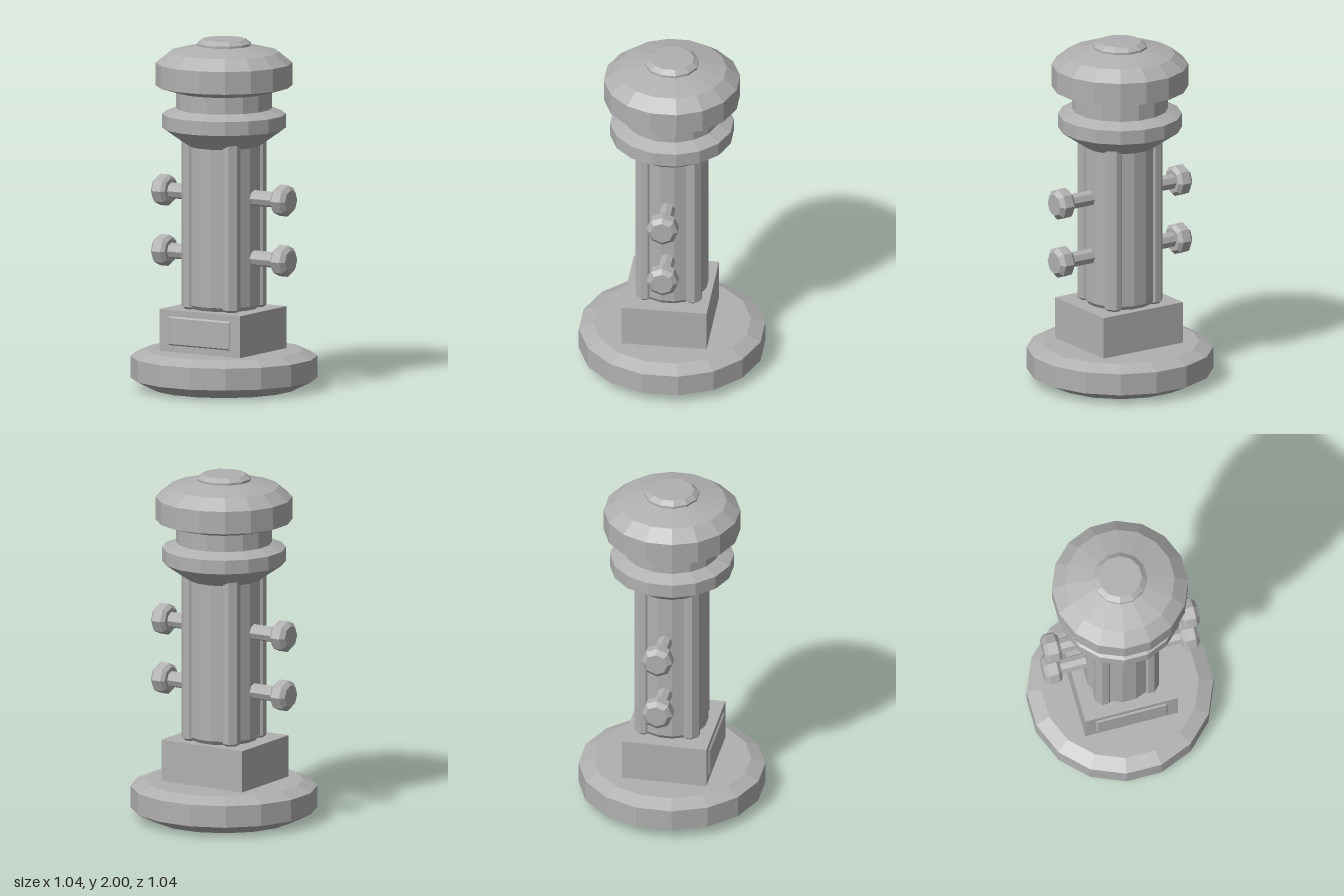
import * as THREE from 'three';

// Hard-edged shading: every facet gets its own normal
function faceted(geometry) {
  const g = geometry.index ? geometry.toNonIndexed() : geometry;
  g.computeVertexNormals();
  return g;
}

// Turned solid; profile radii are measured to the middle of each flat
function turned(profile, sides) {
  const k = 1 / Math.cos(Math.PI / sides);
  const points = profile.map(([r, y]) => new THREE.Vector2(r * k, y));
  return faceted(new THREE.LatheGeometry(points, sides, Math.PI / sides));
}

// Bar along z with chamfered long edges and bevelled ends
function bevelledBar(w, h, length, corner, bevel) {
  const a = w / 2 - bevel, b = h / 2 - bevel, c = corner;
  const pts = c > 0
    ? [[-a + c, -b], [a - c, -b], [a, -b + c], [a, b - c], [a - c, b], [-a + c, b], [-a, b - c], [-a, -b + c]]
    : [[-a, -b], [a, -b], [a, b], [-a, b]];
  const shape = new THREE.Shape(pts.map(([x, y]) => new THREE.Vector2(x, y)));
  const g = new THREE.ExtrudeGeometry(shape, {
    depth: length - 2 * bevel, bevelEnabled: true, bevelSegments: 1,
    bevelSize: bevel, bevelThickness: bevel,
  });
  g.translate(0, 0, bevel);
  return faceted(g);
}

export function createModel() {
  const model = new THREE.Group();
  model.name = 'bollard';
  const grey = new THREE.MeshStandardMaterial({ color: 0xb0b0b0 });
  grey.name = 'grey';

  const add = (name, geometry, parent = model) => {
    const mesh = new THREE.Mesh(geometry, grey);
    mesh.name = name;
    parent.add(mesh);
    return mesh;
  };

  // Round foot
  add('base', turned([[0, 0], [0.40, 0], [0.52, 0.06], [0.52, 0.185], [0.44, 0.222], [0, 0.222]], 16));

  // Square plinth with a raised front panel
  add('plinth', new THREE.BoxGeometry(0.545, 0.25, 0.487)).position.set(0, 0.337, 0.01);
  add('frontPanel', bevelledBar(0.418, 0.165, 0.03, 0, 0.008)).position.set(0, 0.343, 0.233);

  // Shaft
  add('column', turned([[0, 0.46], [0.185, 0.46], [0.203, 0.485], [0.203, 1.41], [0, 1.41]], 16));

  // Four bevelled ribs on the diagonals
  for (let i = 0; i < 4; i++) {
    const pivot = new THREE.Group();
    pivot.name = 'rib';
    pivot.rotation.y = Math.PI / 4 + i * Math.PI / 2;
    const rib = add('ribBar', bevelledBar(0.1, 0.1, 0.985, 0.017, 0.015), pivot);
    rib.rotation.x = -Math.PI / 2;
    rib.position.set(0, 0.46, 0.19);
    model.add(pivot);
  }

  // Flared collar, neck and domed cap
  add('collar', turned([[0, 1.39], [0.2, 1.39], [0.345, 1.493], [0.345, 1.573], [0.268, 1.605], [0, 1.605]], 16));
  add('neck', turned([[0, 1.59], [0.268, 1.59], [0.268, 1.71], [0, 1.71]], 16));
  add('cap', turned([[0, 1.70], [0.268, 1.70], [0.38, 1.735], [0.38, 1.865], [0.305, 1.928],
    [0.15, 1.965], [0, 1.965]], 16));
  add('topButton', turned([[0, 1.95], [0.15, 1.95], [0.15, 1.977], [0.12, 2], [0, 2]], 12));

  // Two bolts on each side
  const c = Math.cos(Math.PI / 8);
  const head = turned([[0, 0.355], [0.07, 0.355], [0.09, 0.375], [0.09, 0.43], [0.064, 0.453], [0, 0.453]]
    .map(([r, y]) => [r * c, y]), 8).rotateY(Math.PI / 8);
  const stem = faceted(new THREE.CylinderGeometry(0.045, 0.045, 0.22, 8)).translate(0, 0.26, 0);
  for (const side of [1, -1]) {
    for (const y of [0.76, 1.105]) {
      const bolt = new THREE.Group();
      bolt.name = side > 0 ? 'leftBolt' : 'rightBolt';
      add('boltStem', stem, bolt);
      add('boltHead', head, bolt);
      bolt.rotation.z = -side * Math.PI / 2;
      bolt.position.y = y;
      model.add(bolt);
    }
  }
  return model;
}
